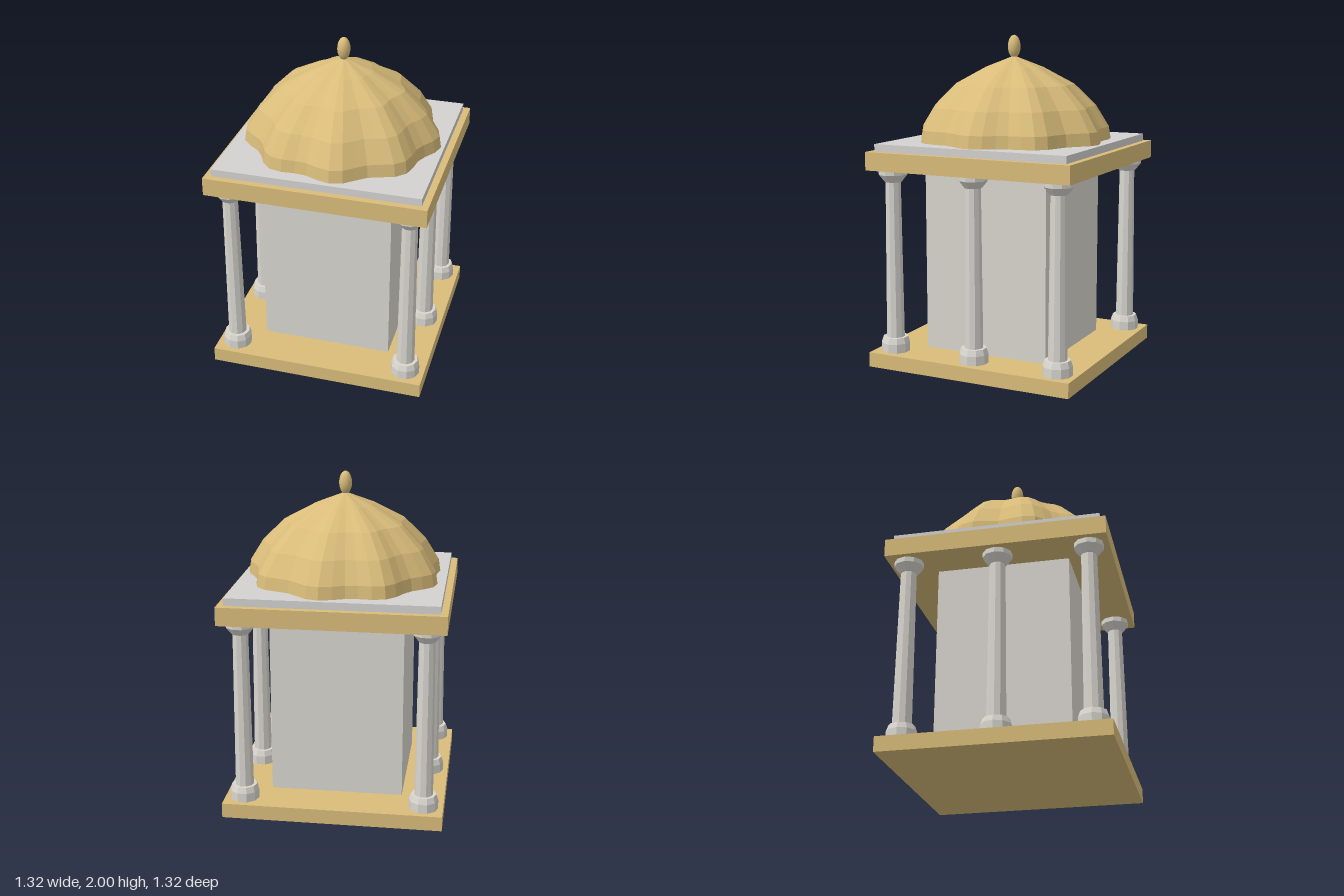
import * as THREE from 'three';

const mat = (name, color) => {
  const m = new THREE.MeshStandardMaterial({ color });
  m.name = name;
  return m;
};

// give every face its own normal for a faceted look
function faceted(geometry) {
  const g = geometry.toNonIndexed();
  g.computeVertexNormals();
  return g;
}

export function createModel() {
  const gold = mat('gold sandstone', 0xd9bc7a);
  const stone = mat('pale stone', 0xd9d6cf);
  const slabGrey = mat('grey slab', 0xd3d2d0);
  const model = new THREE.Group();
  model.name = 'domedPavilion';

  const add = (parent, name, geometry, material, x = 0, y = 0, z = 0) => {
    const mesh = new THREE.Mesh(geometry, material);
    mesh.name = name;
    mesh.position.set(x, y, z);
    parent.add(mesh);
    return mesh;
  };
  const block = (name, width, y0, y1, material) =>
    add(model, name, new THREE.BoxGeometry(width, y1 - y0, width), material, 0, (y0 + y1) / 2, 0);

  // stacked square blocks
  block('basePlinth', 1.32, 0, 0.09, gold);
  block('innerChamber', 0.8, 0.09, 1.21, stone);
  block('entablature', 1.32, 1.21, 1.32, gold);
  block('roofSlab', 1.24, 1.32, 1.365, slabGrey);

  // columns: three along each side
  const columnProfile = [
    [0.088, 0.09], [0.088, 0.145], [0.076, 0.18], [0.056, 0.18],
    [0.047, 1.135], [0.052, 1.135], [0.088, 1.18], [0.088, 1.21],
  ].map(([r, y]) => new THREE.Vector2(r, y));
  const columnGeometry = faceted(new THREE.LatheGeometry(columnProfile, 10, Math.PI / 2));
  for (const x of [-0.542, 0.542]) {
    for (const z of [-0.542, 0, 0.542]) add(model, 'column', columnGeometry, stone, x, 0, z);
  }

  // dome: a lathe whose radius swells into nine lobes
  const domeProfile = [
    [1, 1.365], [0.98, 1.44], [0.845, 1.57], [0.62, 1.702], [0.3, 1.805], [0, 1.875],
  ].map(([r, y]) => new THREE.Vector2(r, y));
  const dome = new THREE.LatheGeometry(domeProfile, 48);
  const p = dome.attributes.position;
  for (let i = 0; i < p.count; i++) {
    const x = p.getX(i), z = p.getZ(i);
    const r = 0.572 + 0.028 * Math.cos(9 * Math.atan2(z, x));
    p.setX(i, x * r);
    p.setZ(i, z * r);
  }
  add(model, 'lobedDome', faceted(dome), gold);

  // egg-shaped finial
  add(model, 'finial', new THREE.SphereGeometry(1, 16, 12), gold, 0, 1.93, 0).scale.set(0.039, 0.07, 0.039);

  return model;
}
